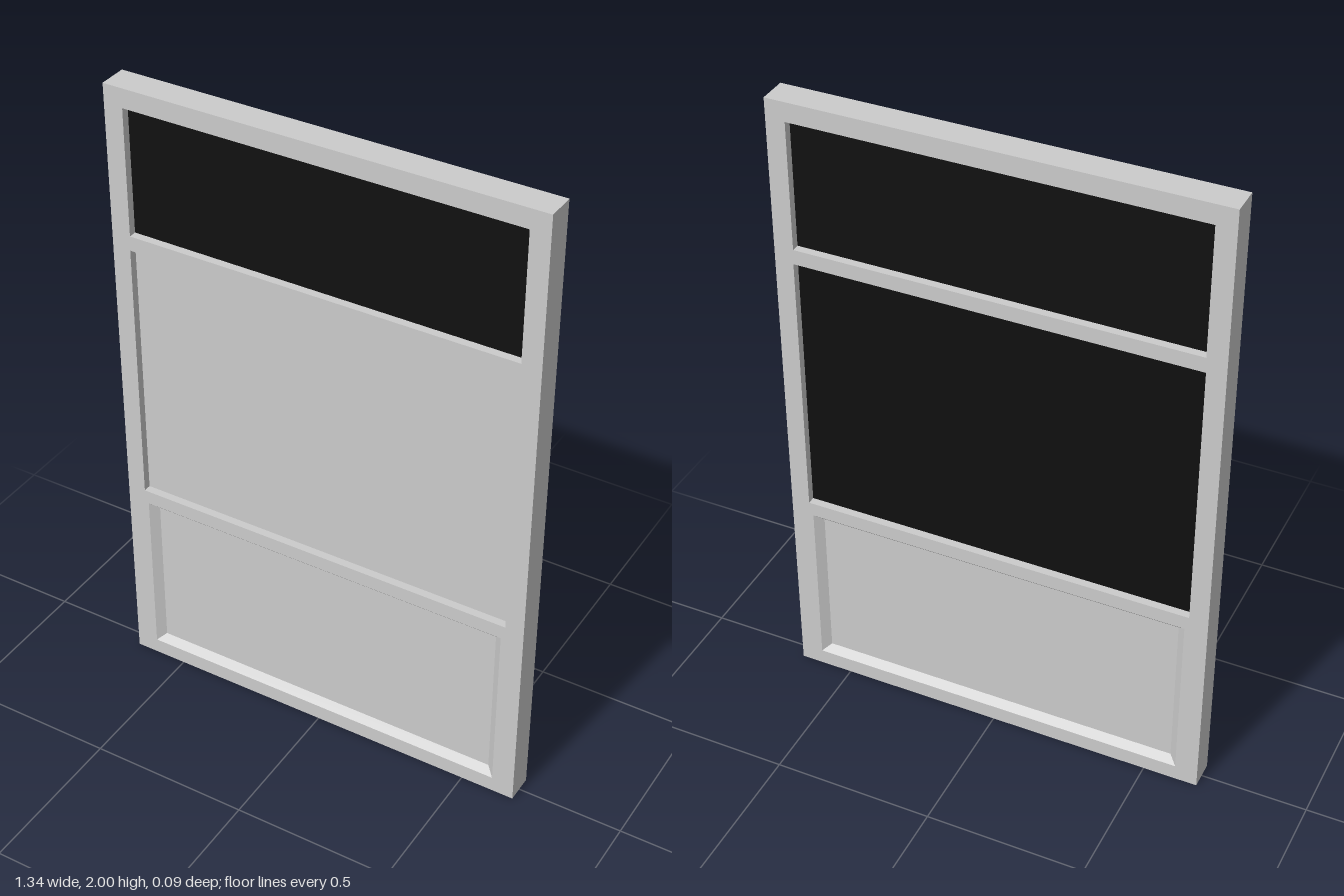
import * as THREE from 'three';

const W = 0.67, H = 2, D = 0.045; // half width, height, half depth

// Corners of a rectangle, counter-clockwise
const corners = (w, y0, y1) => [[-w, y0], [w, y0], [w, y1], [-w, y1]];
const points = (w, y0, y1) => corners(w, y0, y1).map(([x, y]) => new THREE.Vector2(x, y));

// Sunken panel: four sloping sides running down to a flat field
function recessGeometry(outer, inner, zOuter, zInner) {
  const o = corners(...outer).map(([x, y]) => [x, y, zOuter]);
  const n = corners(...inner).map(([x, y]) => [x, y, zInner]);
  const pos = [];
  const quad = (a, b, c, d) => pos.push(...a, ...b, ...c, ...a, ...c, ...d);
  for (let i = 0; i < 4; i++) {
    const j = (i + 1) % 4;
    quad(o[i], o[j], n[j], n[i]);
  }
  quad(...n);
  const g = new THREE.BufferGeometry();
  g.setAttribute('position', new THREE.Float32BufferAttribute(pos, 3));
  g.computeVertexNormals();
  return g;
}

export function createModel() {
  const model = new THREE.Group();
  model.name = 'door';
  const grey = new THREE.MeshStandardMaterial({ color: 0xcccccc });
  const black = new THREE.MeshStandardMaterial({ color: 0x101010 });
  const add = (name, geometry, material) => {
    const mesh = new THREE.Mesh(geometry, material);
    mesh.name = name;
    model.add(mesh);
    return mesh;
  };
  const pane = (name, [w, y0, y1], z0, z1, material) =>
    add(name, new THREE.BoxGeometry(2 * w, y1 - y0, z1 - z0), material)
      .position.set(0, (y0 + y1) / 2, (z0 + z1) / 2);

  // Openings: half width, bottom, top
  const top = [0.61, 1.54, 1.94];
  const middle = [0.612, 0.645, 1.493];
  const bottom = [0.6, 0.05, 0.6];
  const field = [0.575, 0.072, 0.578];

  // Frame with three openings
  const shape = new THREE.Shape(points(W, 0, H));
  for (const o of [top, middle, bottom]) shape.holes.push(new THREE.Path(points(...o).reverse()));
  const frame = new THREE.ExtrudeGeometry(shape, { depth: 2 * D, bevelEnabled: false });
  frame.translate(0, 0, -D);
  add('frame', frame, grey);

  // Dark upper pane; middle panel is grey in front, dark behind
  pane('upperPane', top, -0.02, 0.02, black);
  pane('middleFrontPanel', middle, 0, 0.02, grey);
  pane('middleBackPane', middle, -0.02, 0, black);

  // Bevelled lower panel, same on both faces
  for (const [name, turn] of [['lowerPanelFront', 0], ['lowerPanelBack', Math.PI]]) {
    add(name, recessGeometry(bottom, field, D, 0.023), grey).rotation.y = turn;
  }
  return model;
}
